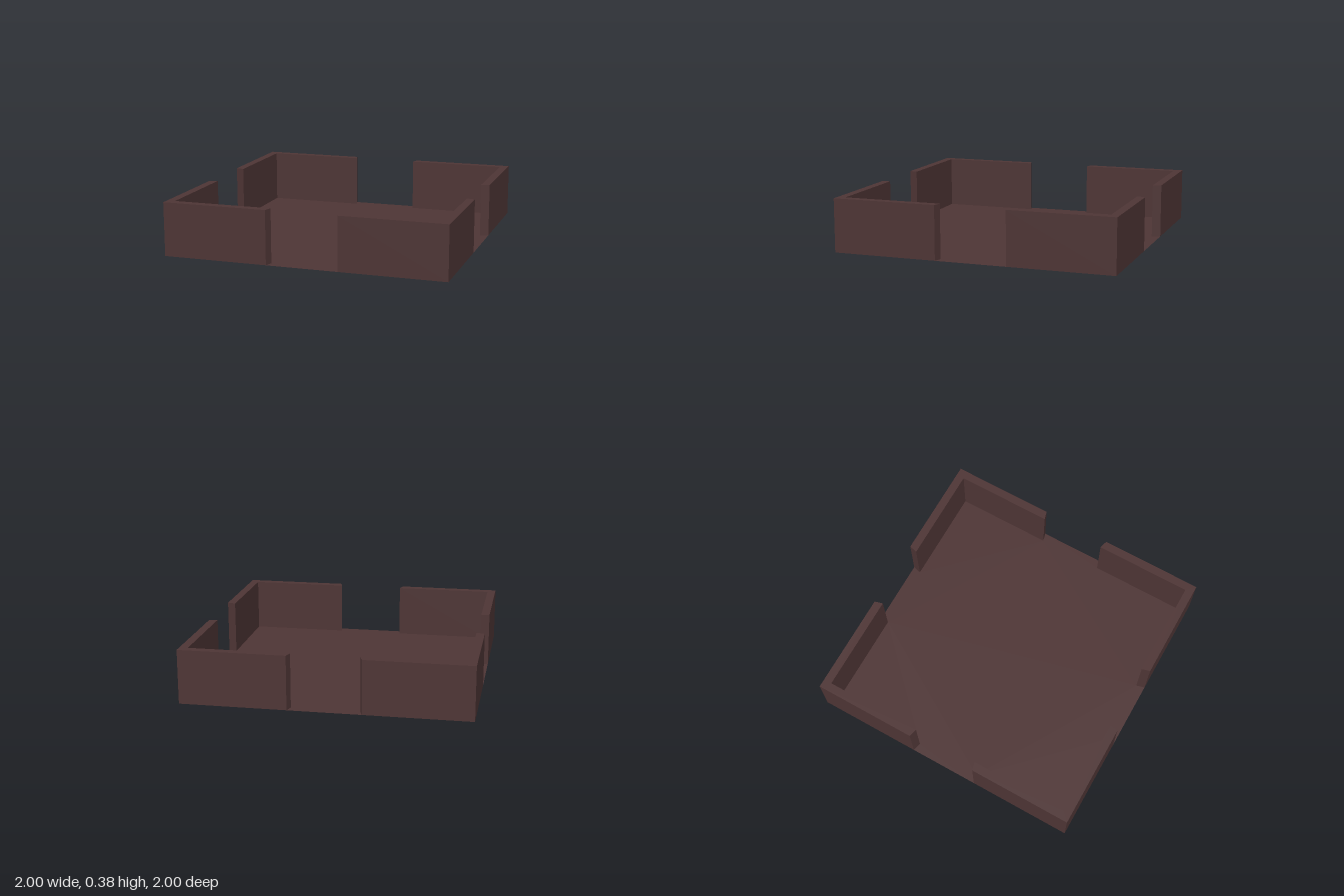
import * as THREE from 'three';

const OUT = 1, IN = 0.94;              // outer and inner wall faces
const GAP_OUT = 0.253, GAP_IN = 0.237; // slanted opening edges
const HEIGHT = 0.38;

const shapeOf = (pts) => new THREE.Shape(pts.map(([x, y]) => new THREE.Vector2(x, y)));

// L-shaped hollow wall, open underneath
function cornerGeometry() {
  const shape = shapeOf([
    [OUT, GAP_OUT], [OUT, OUT], [GAP_OUT, OUT],
    [GAP_IN, IN], [IN, IN], [IN, GAP_IN],
  ]);
  const solid = new THREE.ExtrudeGeometry(shape, { depth: HEIGHT, bevelEnabled: false });
  // the first half of the cap group is the lower cap: leave it out
  const skip = solid.groups[0].count / 2;
  const geometry = new THREE.BufferGeometry();
  geometry.setAttribute('position', new THREE.BufferAttribute(solid.attributes.position.array.slice(skip * 3), 3));
  geometry.computeVertexNormals();
  return geometry.rotateX(-Math.PI / 2);
}

// Thin floor: inner square with a tongue reaching through each opening
function floorGeometry() {
  const side = [[IN, -IN], [IN, -GAP_IN], [OUT, -GAP_OUT], [OUT, GAP_OUT], [IN, GAP_IN]];
  const pts = [];
  for (let i = 0; i < 4; i++) {
    const c = [1, 0, -1, 0][i], s = [0, 1, 0, -1][i];
    for (const [x, y] of side) pts.push([x * c - y * s, x * s + y * c]);
  }
  return new THREE.ShapeGeometry(shapeOf(pts)).rotateX(-Math.PI / 2);
}

export function createModel() {
  const model = new THREE.Group();
  model.name = 'walledTray';
  const brown = new THREE.MeshStandardMaterial({ color: 0x4e3535, side: THREE.DoubleSide });
  brown.name = 'darkBrown';

  const floor = new THREE.Mesh(floorGeometry(), brown);
  floor.name = 'floor';
  model.add(floor);

  // four identical corner walls
  const geometry = cornerGeometry();
  ['backLeft', 'backRight', 'frontRight', 'frontLeft'].forEach((place, i) => {
    const wall = new THREE.Mesh(geometry, brown);
    wall.name = place + 'CornerWall';
    wall.rotation.y = i * Math.PI / 2;
    model.add(wall);
  });
  return model;
}
